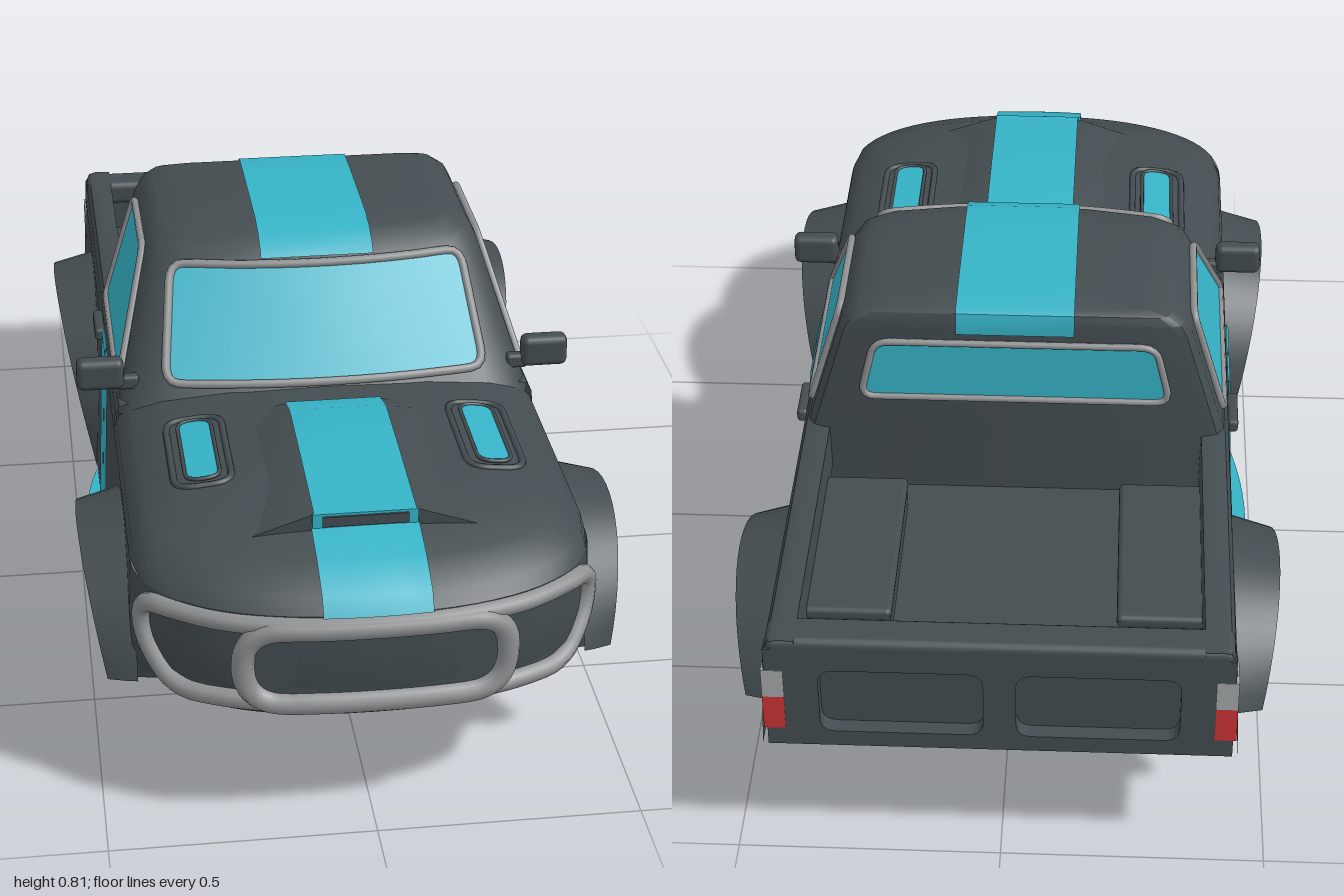
import * as THREE from 'three';
import { toCreasedNormals } from 'three/addons/utils/BufferGeometryUtils.js';
import { RoundedBoxGeometry } from 'three/addons/geometries/RoundedBoxGeometry.js';

const V = (x, y, z) => new THREE.Vector3(x, y, z);
const toV2 = pts => pts.map(p => new THREE.Vector2(...p));
const paint = (name, color) => new THREE.MeshStandardMaterial({ name, color, side: THREE.DoubleSide });

// Surface through rows of points
function grid(rows, crease = 0.6) {
  const n = rows[0].length, idx = [];
  for (let r = 0; r < rows.length - 1; r++)
    for (let c = 0; c < n - 1; c++) {
      const a = r * n + c, b = a + n;
      idx.push(a, a + 1, b + 1, a, b + 1, b);
    }
  const g = new THREE.BufferGeometry().setFromPoints(rows.flat());
  g.setIndex(idx);
  return toCreasedNormals(g, crease);
}

// Polygon with rounded corners and subdivided edges
function roundPoly(corners, rad) {
  const out = [], P = toV2(corners), n = P.length;
  P.forEach((p, i) => {
    const next = P[(i + 1) % n];
    const toward = q => p.clone().add(q.clone().sub(p).setLength(rad));
    const a = toward(P[(i + n - 1) % n]), b = toward(next);
    out.push(...new THREE.QuadraticBezierCurve(a, p, b).getPoints(5));
    const end = next.clone().add(p.clone().sub(next).setLength(rad));
    for (let k = 1; k < 8; k++) out.push(b.clone().lerp(end, k / 8));
  });
  return out;
}

// Plan outline of the body: half width at z, and its inverse
const planX = z => z < 0.72 ? 0.43 : 0.43 * Math.pow(Math.max(0, 1 - Math.pow((z - 0.72) / 0.26, 2.3)), 0.435);
const noseZ = x => 0.72 + 0.26 * Math.pow(Math.max(0, 1 - Math.pow(Math.abs(x) / 0.44, 2.3)), 0.435);
const sideX = y => 0.428 + 0.02 * (0.5 - y) / 0.43;
const cabX = y => 0.405 - 0.3 * (y - 0.55);
const cabFront = y => 0.278 - 0.853 * (y - 0.55);
const ARCH_Y = 0.165, FRONT = 0.515, REAR = -0.62, FRONT_LIP = 0.237, REAR_LIP = 0.385;

export function createModel() {
  const root = new THREE.Group();
  root.name = 'pickupTruck';
  const dark = paint('charcoalPaint', 0x434c50), teal = paint('tealAccent', 0x36b3c7);
  const grey = paint('greyMetal', 0x8f9192), red = paint('redLamp', 0xcc3333), pale = paint('paleLamp', 0xa6a8a9);
  const add = (name, geo, mat, x = 0, y = 0, z = 0) => {
    const m = new THREE.Mesh(geo, mat);
    m.name = name;
    m.position.set(x, y, z);
    root.add(m);
  };
  // Box given by its limits
  const box = (name, mat, x0, x1, y0, y1, z0, z1, r = 0) => {
    const s = [Math.abs(x1 - x0), y1 - y0, z1 - z0];
    const g = r ? new RoundedBoxGeometry(...s, 2, r) : new THREE.BoxGeometry(...s);
    add(name, g, mat, (x0 + x1) / 2, (y0 + y1) / 2, (z0 + z1) / 2);
  };
  // Thin panel laid on a surface, with a tube rim
  const pane = (name, corners, rad, map, mat, rimMat, rim) => {
    const pts = roundPoly(corners, rad), loop = [...pts, pts[0]];
    const c = pts.reduce((s, p) => s.add(p), new THREE.Vector2()).divideScalar(pts.length);
    const rows = [0, 0.3, 0.6, 0.85, 1].map(s => loop.map(p => map(c.x + (p.x - c.x) * s, c.y + (p.y - c.y) * s)));
    add(name, grid(rows), mat);
    const curve = new THREE.CatmullRomCurve3(pts.map(p => map(p.x, p.y)), true);
    add(name + 'Rim', new THREE.TubeGeometry(curve, 120, rim, 8, true), rimMat);
  };

  // Stations along one side: [z, lower edge]
  const half = [[-1, 0.27], [-0.93, 0.265]];
  const archStations = (c, a0, a1) => {
    for (let i = 0; i <= 16; i++) {
      const a = THREE.MathUtils.lerp(a0, a1, i / 16);
      half.push([c - 0.265 * Math.cos(a), ARCH_Y + 0.265 * Math.sin(a)]);
    }
  };
  archStations(REAR, REAR_LIP, Math.PI);
  half.push([REAR + 0.266, 0.07], [-0.1, 0.07], [FRONT - 0.266, 0.07]);
  archStations(FRONT, 0, Math.PI - FRONT_LIP);
  const noseStart = half.length;
  for (let i = 0; i <= 14; i++) {
    const s = Math.sin(Math.PI / 2 * (0.17 + 0.83 * i / 14));
    half.push([0.72 + 0.26 * Math.pow(s, 2 / 2.3), 0.24]);
  }
  const mirror = pts => [...pts, ...pts.slice().reverse().map(p => V(-p.x, p.y, p.z))];
  const sideRow = t => half.map(([z, b], i) => {
    const y = THREE.MathUtils.lerp(b, 0.46, t);
    const tuck = i >= noseStart ? 1 - 0.1 * Math.max(0, (0.31 - y) / 0.07) : 1;
    return V(planX(z) / 0.43 * sideX(y) * tuck, y, z > 0.8 ? 0.8 + (z - 0.8) * tuck : z);
  });
  add('bodySides', grid([0, 0.15, 0.32, 0.66, 1].map(t => mirror(sideRow(t)))), dark);
  const lip = sideRow(0).slice(noseStart);
  add('noseFloor', grid([lip, lip.map(p => V(-p.x, p.y, p.z))]), dark);

  // Hood: the plan outline shrinking upward
  const hoodZ = [0.22, 0.35, 0.48, 0.6, 0.72, ...half.slice(noseStart).map(h => h[0])];
  const hood = [[0.43, 0.98, 0.46], [0.424, 0.958, 0.485], [0.395, 0.885, 0.516], [0.33, 0.8, 0.538],
    [0.2, 0.7, 0.552], [0, 0.6, 0.558]];
  add('hood', grid(hood.map(([w, n, y]) => mirror(hoodZ.map(z =>
    V(planX(z) * w / 0.43, y, 0.22 + (z - 0.22) * (n - 0.22) / 0.76)))), 0.9), dark);

  // Hood scoop with centre stripe
  const scoop = [[0.8, 0.568], [0.6, 0.578], [0.42, 0.583], [0.34, 0.56]];
  add('scoop', grid(scoop.map(([z, y]) => [[-0.21, 0.53], [-0.1, y], [0.1, y], [0.21, 0.53]].map(p => V(p[0], p[1], z)))), dark);
  add('scoopFace', grid([[V(-0.21, 0.53, 0.8), V(0.21, 0.53, 0.8)], [V(-0.1, 0.568, 0.8), V(0.1, 0.568, 0.8)]]), dark);
  add('scoopStripe', grid(scoop.map(([z, y]) => [V(-0.095, y + 0.004, z), V(0.095, y + 0.004, z)])), teal);
  box('scoopLip', teal, -0.098, 0.098, 0.53, 0.572, 0.8, 0.806);
  box('scoopOpening', dark, -0.08, 0.08, 0.547, 0.567, 0.806, 0.81);
  add('noseStripe', grid([[0.545, 0.803], [0.524, 0.89], [0.493, 0.965], [0.46, 0.988]].map(([y, z]) =>
    [-0.1, -0.05, 0, 0.05, 0.1].map(x => V(x, y, z - 0.4 * x * x)))), teal);

  // Grille surround sunk into the nose, and proud oval
  pane('grillePanel', [[-0.415, 0.44], [0.415, 0.44], [0.415, 0.355], [0.365, 0.277], [-0.365, 0.277], [-0.415, 0.355]],
    0.04, (x, y) => V(x, y, noseZ(x) - 0.004), dark, grey, 0.019);
  pane('grilleOval', [[-0.243, 0.433], [0.243, 0.433], [0.243, 0.276], [-0.243, 0.276]], 0.078,
    (x, y) => V(x, y, noseZ(x) * 0.7 + 0.291), dark, grey, 0.022);

  // Cab shell
  const cabRows = [[0.36, 0.415, 0.2, -0.355], [0.5, cabX(0.5), cabFront(0.5), -0.355],
    ...[0.55, 0.65, 0.755].map(y => [y, cabX(y), cabFront(y), -0.355]),
    [0.78, 0.33, 0.075, -0.355], [0.797, 0.305, 0.035, -0.35], [0.806, 0.25, -0.01, -0.335], [0.807, 0, -0.1, -0.25]];
  add('cab', grid(cabRows.map(([y, w, f, b]) => mirror([[0, f], [0.4, f - 0.007], [0.8, f - 0.03], [0.95, f - 0.06],
    [1, f - 0.11], [1, b + 0.03], [0.97, b + 0.006], [0.92, b], [0, b]].map(([x, z]) => V(x * w, y, z)))), 0.7), dark);
  add('roofStripe', grid([[0.768, 0.1], [0.784, 0.081], [0.801, 0.04], [0.81, -0.01], [0.811, -0.1], [0.811, -0.25],
    [0.809, -0.338], [0.8, -0.355], [0.782, -0.36], [0.755, -0.36]].map(([y, z]) => [V(-0.115, y, z), V(0.115, y, z)])), teal);

  // Windshield and rear window
  pane('windshield', [[-0.298, 0.757], [0.298, 0.757], [0.324, 0.568], [-0.324, 0.568]], 0.03,
    (x, y) => V(x, y, cabFront(y) + 0.006 - 0.047 * (x / cabX(y)) ** 2), teal, grey, 0.009);
  pane('rearWindow', [[-0.275, 0.735], [0.275, 0.735], [0.305, 0.605], [-0.305, 0.605]], 0.03,
    (x, y) => V(x, y, -0.361), teal, grey, 0.007);

  // Bed and tailgate
  box('bedFloor', dark, -0.25, 0.25, 0.36, 0.38, -0.97, -0.35);
  box('bedFloorRear', dark, -0.42, 0.42, 0.36, 0.38, -0.97, -0.81);
  box('bedFloorFront', dark, -0.42, 0.42, 0.36, 0.38, -0.43, -0.35);
  box('tailgateInner', dark, -0.41, 0.41, 0.27, 0.5, -0.97, -0.93);
  box('tailgateTop', dark, -0.425, 0.425, 0.465, 0.52, -1, -0.925, 0.015);
  const gate = new THREE.Shape(toV2([[-0.428, 0.27], [0.428, 0.27], [0.428, 0.5], [-0.428, 0.5]]));
  for (const s of [-1, 1])
    gate.holes.push(new THREE.Path(roundPoly([[s * 0.03, 0.305], [s * 0.33, 0.305], [s * 0.33, 0.452], [s * 0.03, 0.452]], 0.03)));
  add('tailgate', new THREE.ExtrudeGeometry(gate, { depth: 0.03, bevelEnabled: false }), dark, 0, 0, -1);

  // Floor plates between the wheel wells
  const plate = (name, x0, x1, ...zy) => add(name, grid(zy.map(([z, y]) => [V(x0, y, z), V(x1, y, z)])), dark);
  plate('frontFloor', -0.25, 0.25, [0.785, 0.165], [0.24, 0.165]);
  plate('tunnelRoof', -0.2, 0.2, [0.25, 0.165], [-0.36, 0.165]);
  plate('rearFloor', -0.25, 0.25, [-0.91, 0.265], [-0.34, 0.075]);
  plate('rearSill', -0.428, 0.428, [-1, 0.27], [-0.87, 0.265]);

  for (const s of [1, -1]) {
    const side = s > 0 ? 'left' : 'right';
    // Wheel wells and flares
    [[FRONT, FRONT_LIP, 1, 'Front'], [REAR, REAR_LIP, -1, 'Rear']].forEach(([c, start, dir, end]) => {
      const arc = [];
      for (let i = 0; i <= 24; i++) {
        const a = THREE.MathUtils.lerp(start, Math.PI, i / 24);
        arc.push([dir * Math.cos(a), Math.sin(a), ARCH_Y]);
      }
      arc.push([-dir, 0, 0.07]);
      const ring = (r, x) => arc.map(([cz, sy, y0]) => {
        const y = y0 + r * sy;
        return V(s * (x || 0.45 + (y - 0.07) * 0.195), y, c + r * cz);
      });
      add(side + end + 'Flare', grid([ring(0.292, 0.425), ring(0.286, 0.445), ring(0.268), ring(0.255)]), dark);
      add(side + end + 'WheelWell', grid([ring(0.255), ring(0.255, 0.25)]), dark);
      const wall = ring(0.255, 0.25);
      if (dir > 0) wall.unshift(V(s * 0.25, 0.225, 0.785));
      const low = wall.map(p => V(p.x, Math.min(p.y, dir > 0 ? 0.165 : 0.265 - 0.333 * (p.z + 0.91)), p.z));
      add(side + end + 'WellWall', grid([wall, low]), dark);
    });

    // Bed rail, belt line, door stripe and handle
    const belt = [[0.43, 0.46], [0.426, 0.5], [0.418, 0.517], [0.4, 0.522], [0.37, 0.52], [0.368, 0.425]];
    const rail = (name, pts, z0, z1) => add(side + name, grid(pts.map(([x, y]) => [V(s * x, y, z0), V(s * x, y, z1)])), dark);
    rail('BedRail', belt, -1, -0.35);
    rail('BeltLine', belt.slice(0, 5), -0.35, 0.23);
    for (const [z0, z1] of [[-0.15, -0.05], [-0.045, 0.055]])
      add(side + 'DoorStripe', grid([0.08, 0.2, 0.35, 0.46, 0.5, 0.514].map(y =>
        [z0, z1].map(z => V(s * (sideX(y) + (y > 0.51 ? 0 : 0.005)), y, z)))), teal);
    box(side + 'DoorHandle', dark, s * 0.425, s * 0.447, 0.47, 0.498, -0.275, -0.17, 0.008);

    // Side window and mirror
    pane(side + 'Window', [[0.165, 0.532], [-0.015, 0.757], [-0.275, 0.757], [-0.28, 0.532]], 0.025,
      (z, y) => V(s * (cabX(y) + 0.005), y, z), teal, grey, 0.008);
    box(side + 'Mirror', dark, s * 0.405, s * 0.5, 0.55, 0.615, 0.185, 0.225, 0.014);
    box(side + 'MirrorStem', dark, s * 0.375, s * 0.42, 0.545, 0.575, 0.19, 0.215, 0.008);

    // Hood vent
    const vent = (x0, x1, z0, z1) => [[s * x0, z0], [s * x1, z0], [s * x1, z1], [s * x0, z1]];
    const onHood = d => (x, z) => V(x, 0.57 - 0.1 * Math.abs(x) + d, z);
    pane(side + 'HoodVent', vent(0.247, 0.313, 0.37, 0.605), 0.03, onHood(0.008), teal, dark, 0.004);
    pane(side + 'VentSurround', vent(0.225, 0.335, 0.35, 0.62), 0.04, onHood(0.001), dark, dark, 0.007);

    // Tail lamps, hollow wheel boxes, cab floor
    box(side + 'TailLamp', red, s * 0.394, s * 0.434, 0.31, 0.386, -1.001, -0.93);
    box(side + 'ReverseLamp', pale, s * 0.394, s * 0.434, 0.386, 0.45, -1.001, -0.93);
    box(side + 'WheelBoxTop', dark, s * 0.21, s * 0.375, 0.424, 0.45, -0.83, -0.42, 0.01);
    box(side + 'WheelBoxSide', dark, s * 0.212, s * 0.235, 0.37, 0.44, -0.828, -0.422);
    for (const z of [-0.828, -0.437]) box(side + 'WheelBoxEnd', dark, s * 0.22, s * 0.375, 0.37, 0.44, z, z + 0.015);
    plate(side + 'CabFloor', s * 0.19, s * 0.44, [0.25, 0.072], [-0.355, 0.072]);
    box(side + 'TunnelWall', dark, s * 0.19, s * 0.2, 0.072, 0.165, -0.355, 0.25);

    // Side step with bowed outer edge
    const step = (name, mat, inner, outer, y, h) => {
      const pts = [[s * inner, 0.32], [s * inner, -0.22]];
      for (let i = 0; i <= 12; i++) {
        const z = 0.22 - 0.54 * i / 12;
        pts.push([s * (outer - 0.035 * ((z + 0.05) / 0.27) ** 2), -z]);
      }
      const g = new THREE.ExtrudeGeometry(new THREE.Shape(toV2(pts)), { depth: h, bevelEnabled: false });
      add(side + name, g.rotateX(-Math.PI / 2), mat, 0, y, 0);
    };
    step('StepBase', dark, 0.19, 0.488, 0.03, 0.02);
    step('StepInner', dark, 0.19, 0.475, 0.05, 0.021);
    step('StepTrim', teal, 0.44, 0.487, 0.05, 0.023);
  }

  // Axles, differentials and drive shaft
  const diffProfile = toV2([[0, -0.15], [0.115, -0.15], [0.152, -0.115], [0.152, 0.115], [0.115, 0.15], [0, 0.15]]);
  for (const z of [FRONT, REAR]) {
    add('axle', new THREE.CapsuleGeometry(0.077, 0.526, 8, 24).rotateZ(Math.PI / 2), grey, 0, 0.148, z);
    add('differential', new THREE.LatheGeometry(diffProfile, 8, Math.PI / 8).rotateZ(Math.PI / 2), grey, 0, 0.1405, z);
  }
  add('driveShaft', new THREE.CylinderGeometry(0.055, 0.055, FRONT - REAR, 20).rotateX(Math.PI / 2), grey, 0, 0.115, (FRONT + REAR) / 2);
  return root;
}
